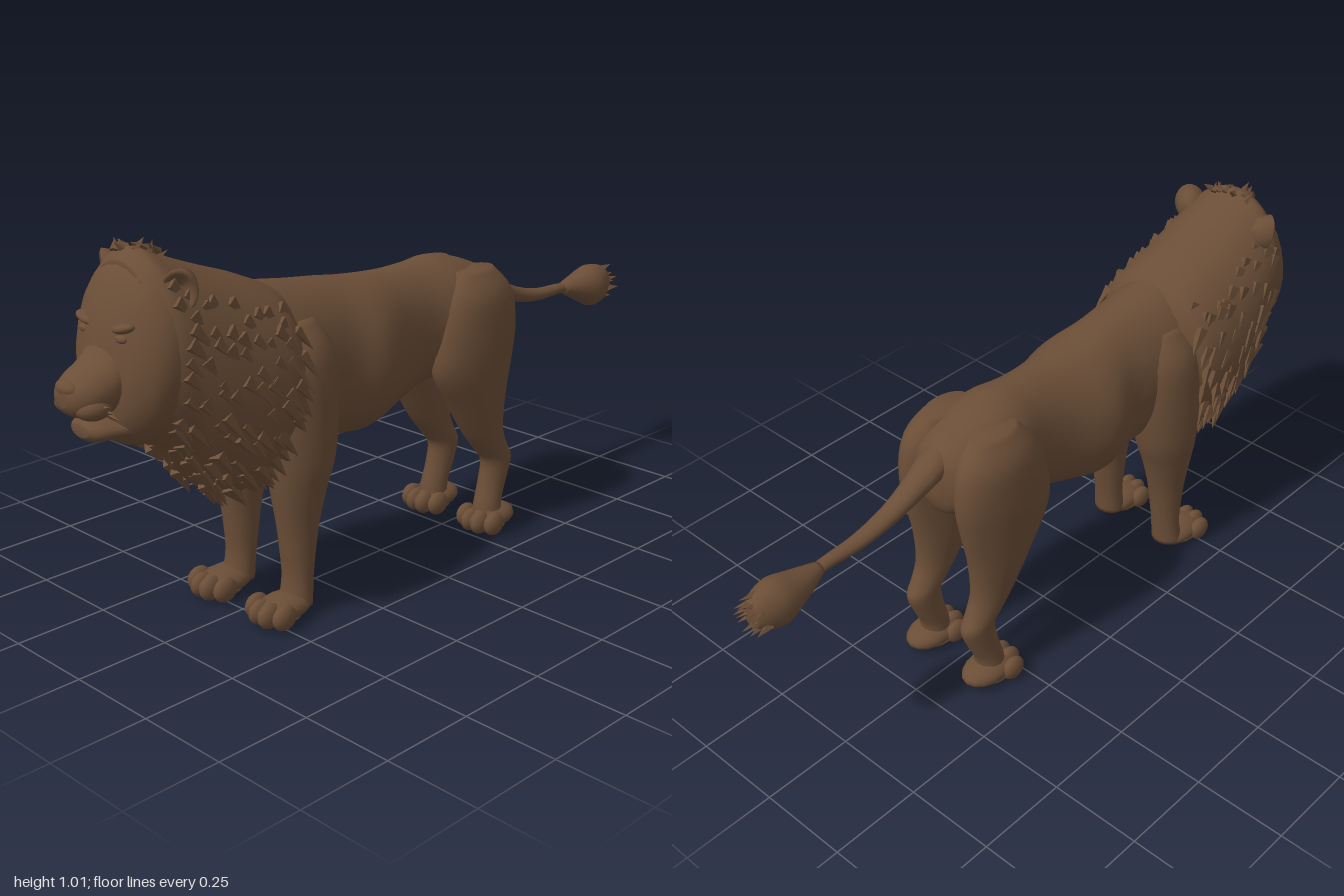
import * as THREE from 'three';
import { mergeGeometries } from 'three/addons/utils/BufferGeometryUtils.js';

const fur = new THREE.MeshStandardMaterial({ color: 0x6b4e37 });
fur.name = 'brown fur';

let seed = 7;
const rnd = () => (seed = (seed * 16807) % 2147483647) / 2147483647;

// Catmull-Rom refinement of a table of cross-sections
function refine(rows, steps = 4) {
  const out = [], at = (i) => rows[Math.min(rows.length - 1, Math.max(0, i))];
  for (let i = 0; i < rows.length - 1; i++) {
    for (let k = 0; k < steps; k++) {
      const t = k / steps;
      out.push(at(i).map((b, c) => {
        const a = at(i - 1)[c], d = at(i + 1)[c], e = at(i + 2)[c];
        return 0.5 * (2 * b + (d - a) * t + (2 * a - 5 * b + 4 * d - e) * t * t + (3 * b - a - 3 * d + e) * t * t * t);
      }));
    }
  }
  out.push(at(rows.length - 1));
  return out;
}

// Skin of elliptical rings: 'z' rows are [z, cx, rx, cy, ry] rising in z,
// 'y' rows are [y, cx, rx, cz, rz] falling in y
function loft(axis, table, seg = 24) {
  const rows = refine(table), pos = [], idx = [];
  const put = (t, x, o) => (axis === 'z' ? pos.push(x, o, t) : pos.push(x, t, o));
  for (const [t, cx, rx, co, ro] of rows) {
    for (let j = 0; j < seg; j++) {
      const a = (j / seg) * Math.PI * 2;
      put(t, cx + rx * Math.cos(a), co + ro * Math.sin(a));
    }
  }
  const n = rows.length, first = n * seg, last = first + 1;
  put(rows[0][0], rows[0][1], rows[0][3]);
  put(rows[n - 1][0], rows[n - 1][1], rows[n - 1][3]);
  for (let j = 0; j < seg; j++) {
    const k = (j + 1) % seg;
    for (let i = 0; i < n - 1; i++) {
      const a = i * seg + j, b = i * seg + k;
      idx.push(a, b, a + seg, b, b + seg, a + seg);
    }
    idx.push(first, k, j, last, (n - 1) * seg + j, (n - 1) * seg + k);
  }
  const g = new THREE.BufferGeometry();
  g.setAttribute('position', new THREE.Float32BufferAttribute(pos, 3));
  g.setIndex(idx);
  g.computeVertexNormals();
  return g;
}

function ball(x, y, z, rx, ry, rz) {
  return new THREE.SphereGeometry(1, 16, 12).scale(rx, ry, rz).translate(x, y, z);
}

// Pointed, faceted lock of hair growing from p along dir
function lock(p, dir, length, width) {
  const g = new THREE.ConeGeometry(width, length, 4).translate(0, length * 0.35, 0);
  g.applyQuaternion(new THREE.Quaternion().setFromUnitVectors(new THREE.Vector3(0, 1, 0), dir.normalize()));
  g.translate(p.x, p.y, p.z);
  const flat = g.toNonIndexed();
  flat.computeVertexNormals();
  return flat;
}

// From [position, top, bottom, half width] to a 'z' row
const span = ([z, top, bottom, w]) => [z, 0, w, (top + bottom) / 2, (top - bottom) / 2];

export function createModel() {
  const model = new THREE.Group();
  const add = (name, geometry) => {
    const m = new THREE.Mesh(geometry, fur);
    m.name = name;
    model.add(m);
    return m;
  };

  add('body', loft('z', [
    [-0.41, 0.69, 0.6, 0.03], [-0.385, 0.735, 0.54, 0.085], [-0.3, 0.775, 0.5, 0.13], [-0.2, 0.8, 0.47, 0.135],
    [-0.1, 0.797, 0.455, 0.112], [0, 0.795, 0.42, 0.122], [0.12, 0.803, 0.39, 0.16], [0.22, 0.818, 0.4, 0.14],
    [0.32, 0.83, 0.41, 0.145], [0.42, 0.845, 0.4, 0.15], [0.55, 0.86, 0.4, 0.13],
  ].map(span), 32));

  // Mane
  const maneRows = [
    [0.4, 0.835, 0.5, 0.13], [0.45, 0.855, 0.43, 0.19], [0.52, 0.885, 0.36, 0.207], [0.59, 0.91, 0.345, 0.208],
    [0.67, 0.94, 0.41, 0.2], [0.74, 0.97, 0.49, 0.185], [0.79, 0.99, 0.53, 0.17], [0.83, 0.96, 0.56, 0.14],
  ].map(span);
  add('mane', loft('z', maneRows, 32));

  const locks = [];
  refine(maneRows, 2).slice(2, -3).forEach(([z, , rx, cy, ry]) => {
    for (let j = 0; j < 20; j++) {
      const a = Math.PI * (-1.28 + 1.56 * ((j + rnd()) / 20));
      const c = Math.cos(a), s = Math.sin(a);
      const p = new THREE.Vector3(c * rx * 0.97, cy + s * ry * 0.97, z + (rnd() - 0.5) * 0.03);
      const dir = new THREE.Vector3(c * 0.22, -0.75 + s * 0.1, -0.4 - 0.3 * rnd());
      locks.push(lock(p, dir, 0.05 + 0.04 * rnd(), 0.014 + 0.01 * rnd()));
    }
  });
  // Tufts on the crown
  for (let j = 0; j < 14; j++) {
    const x = (rnd() - 0.5) * 0.14;
    locks.push(lock(new THREE.Vector3(x, 0.985 - x * x * 2.5, 0.75 + rnd() * 0.06),
      new THREE.Vector3(x * 3, 0.3, -0.4 + rnd()), 0.03, 0.01));
  }
  add('maneLocks', mergeGeometries(locks));

  // Head, muzzle and jaw
  add('head', loft('z', [
    [0.7, 0.95, 0.54, 0.16], [0.78, 0.985, 0.535, 0.168], [0.83, 0.955, 0.535, 0.157],
    [0.862, 0.9, 0.55, 0.13], [0.885, 0.835, 0.575, 0.095], [0.9, 0.77, 0.6, 0.05],
  ].map(span), 28));
  add('muzzle', loft('z', [
    [0.82, 0.88, 0.63, 0.07], [0.87, 0.82, 0.625, 0.078], [0.91, 0.768, 0.625, 0.076],
    [0.955, 0.74, 0.63, 0.066], [0.985, 0.72, 0.645, 0.045], [0.998, 0.702, 0.665, 0.02],
  ].map(span)));
  add('jaw', loft('z', [
    [0.83, 0.63, 0.56, 0.085], [0.89, 0.625, 0.568, 0.07], [0.935, 0.625, 0.57, 0.056], [0.955, 0.615, 0.585, 0.03],
  ].map(span)));
  add('nose', ball(0, 0.705, 0.98, 0.036, 0.02, 0.02));

  for (const s of [1, -1]) {
    const side = s > 0 ? 'left' : 'right';
    add(side + 'Lip', ball(s * 0.036, 0.66, 0.94, 0.041, 0.03, 0.045));
    add(side + 'Eye', ball(s * 0.066, 0.808, 0.876, 0.02, 0.011, 0.012));
    add(side + 'Brow', ball(0, 0, 0, 0.036, 0.012, 0.02).rotateZ(s * 0.25).translate(s * 0.066, 0.83, 0.87));
    const whiskers = [0, 1, 2].map((i) => lock(new THREE.Vector3(s * 0.066, 0.665 - i * 0.012, 0.94 - i * 0.012),
      new THREE.Vector3(s, 0.2 - i * 0.25, -0.2), 0.035, 0.007));
    add(side + 'Whiskers', mergeGeometries(whiskers));

    // Cupped ear
    const profile = [[0, -0.045], [0.035, -0.034], [0.046, 0], [0.038, 0.006], [0.022, -0.014], [0, -0.02]];
    const ear = add(side + 'Ear', new THREE.LatheGeometry(profile.map(([x, y]) => new THREE.Vector2(x, y)), 20)
      .rotateX(Math.PI / 2).scale(0.95, 1.2, 1.1).rotateY(s * 0.7));
    ear.position.set(s * 0.132, 0.905, 0.765);
    ear.rotation.z = -s * 0.3;

    // Legs
    const mirror = ([y, cx, ...rest]) => [y, s * cx, ...rest];
    add(side + 'FrontLeg', loft('y', [
      [0.76, 0.08, 0.04, 0.38, 0.05], [0.68, 0.095, 0.08, 0.385, 0.1], [0.55, 0.1, 0.088, 0.388, 0.108],
      [0.42, 0.105, 0.083, 0.392, 0.094], [0.34, 0.107, 0.068, 0.4, 0.077], [0.25, 0.107, 0.053, 0.405, 0.058],
      [0.18, 0.107, 0.047, 0.407, 0.047], [0.1, 0.108, 0.043, 0.41, 0.038], [0.03, 0.11, 0.046, 0.42, 0.042],
    ].map(mirror)));
    add(side + 'HindLeg', loft('y', [
      [0.765, 0.08, 0.04, -0.27, 0.07], [0.7, 0.092, 0.07, -0.27, 0.125], [0.6, 0.098, 0.074, -0.262, 0.15],
      [0.5, 0.1, 0.07, -0.252, 0.145], [0.4, 0.1, 0.06, -0.272, 0.105], [0.3, 0.1, 0.047, -0.302, 0.07],
      [0.24, 0.1, 0.04, -0.338, 0.056], [0.2, 0.1, 0.036, -0.362, 0.053], [0.14, 0.1, 0.036, -0.348, 0.046],
      [0.08, 0.102, 0.038, -0.328, 0.041], [0.03, 0.104, 0.042, -0.325, 0.045],
    ].map(mirror)));

    // Paws with four toes
    for (const [name, x, z] of [['FrontPaw', 0.112, 0.56], ['HindPaw', 0.106, -0.238]]) {
      const parts = [ball(s * x, 0.036, z - 0.095, 0.056, 0.034, 0.085)];
      [-1.5, -0.5, 0.5, 1.5].forEach((t) => {
        const back = Math.abs(t) > 1 ? 0.054 : 0.036;
        parts.push(ball(s * x + t * 0.034, 0.035, z - back, 0.021, 0.033, 0.036));
      });
      parts.push(ball(s * x, 0.015, z - 0.085, 0.05, 0.015, 0.06));
      add(side + name, mergeGeometries(parts));
    }
  }

  // Tail and its tuft
  add('tail', loft('z', [
    [-0.82, 0, 0.018, 0.592, 0.014], [-0.75, 0, 0.018, 0.6, 0.015], [-0.65, 0, 0.023, 0.602, 0.018],
    [-0.55, 0, 0.028, 0.622, 0.024], [-0.47, 0, 0.034, 0.655, 0.032], [-0.41, 0, 0.042, 0.685, 0.04],
    [-0.34, 0, 0.04, 0.71, 0.04],
  ], 16));
  add('tailTuft', loft('z', [
    [-0.975, 0, 0.025, 0.585, 0.035], [-0.95, 0, 0.042, 0.583, 0.054], [-0.9, 0, 0.055, 0.583, 0.063],
    [-0.84, 0, 0.042, 0.588, 0.042], [-0.77, 0, 0.018, 0.598, 0.015],
  ], 16));
  const tips = [];
  for (let j = 0; j < 14; j++) {
    const a = j * 2.4, r = 0.012 + 0.03 * (j / 14);
    tips.push(lock(new THREE.Vector3(Math.cos(a) * r, 0.583 + Math.sin(a) * r * 1.3, -0.955),
      new THREE.Vector3(Math.cos(a) * 0.2, Math.sin(a) * 0.2, -1), 0.06 - r * 0.4, 0.012));
  }
  add('tailTips', mergeGeometries(tips));

  return model;
}
